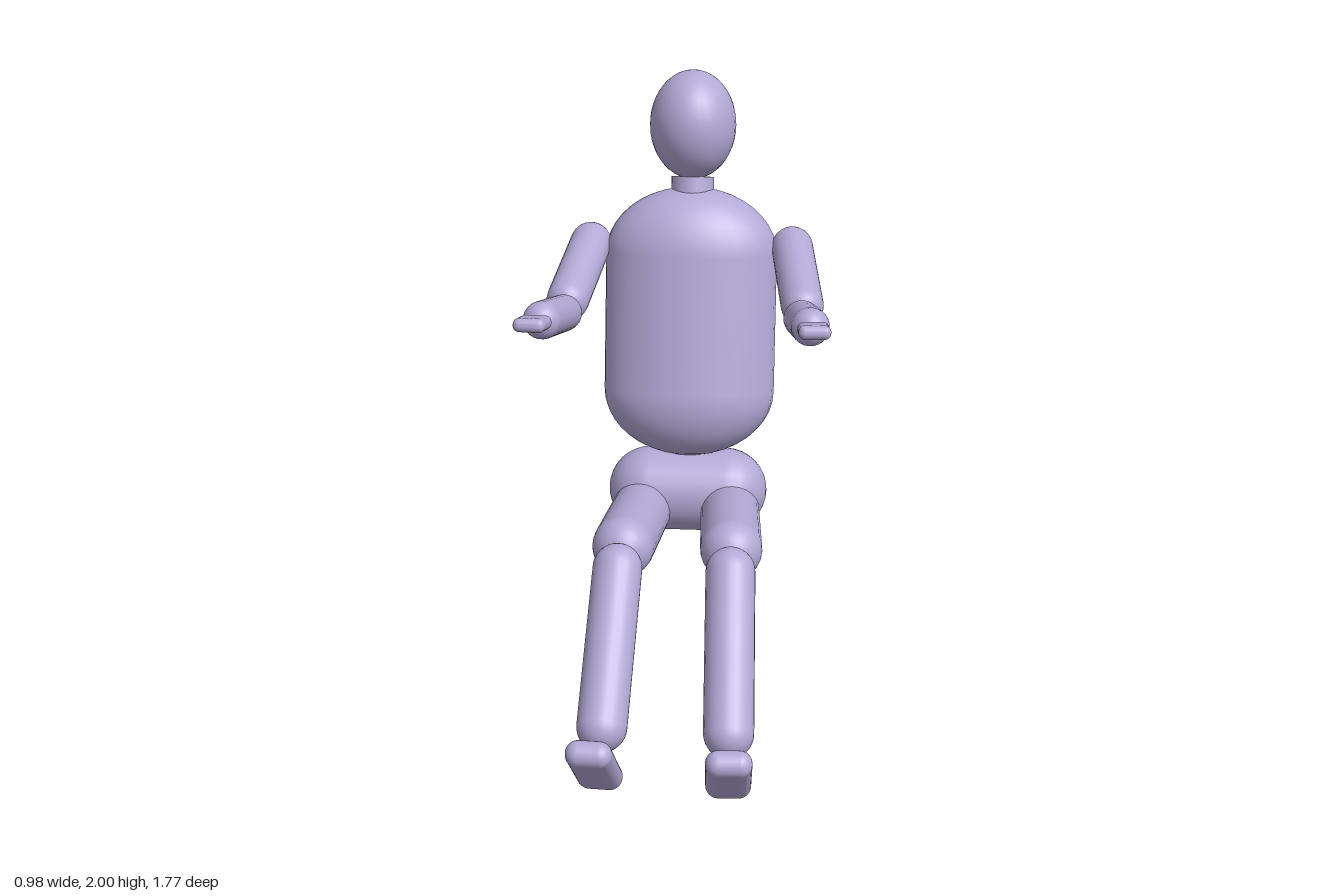
import * as THREE from 'three';
import { RoundedBoxGeometry } from 'three/addons/geometries/RoundedBoxGeometry.js';

const UP = new THREE.Vector3(0, 1, 0);

export function createModel() {
  const model = new THREE.Group();
  const lavender = new THREE.MeshStandardMaterial({ color: 0xb3a9d6 });
  lavender.name = 'lavender';

  const add = (name, geometry, position = [0, 0, 0]) => {
    const mesh = new THREE.Mesh(geometry, lavender);
    mesh.name = name;
    mesh.position.set(...position);
    model.add(mesh);
    return mesh;
  };

  // Capsule whose round ends are centred on points a and b
  const limb = (name, a, b, radius) => {
    const from = new THREE.Vector3(...a), to = new THREE.Vector3(...b);
    const dir = to.clone().sub(from);
    const mesh = add(name, new THREE.CapsuleGeometry(radius, dir.length(), 8, 24));
    mesh.position.copy(from).add(to).multiplyScalar(0.5);
    mesh.quaternion.setFromUnitVectors(UP, dir.normalize());
    return mesh;
  };

  // Rounded slab, pitched up at the front and turned slightly outward
  const slab = (name, size, radius, position, pitch, yaw) => {
    const mesh = add(name, new RoundedBoxGeometry(...size, 4, radius), position);
    mesh.rotation.set(-pitch, yaw, 0, 'YXZ');
  };

  // Head and neck
  add('head', new THREE.SphereGeometry(1, 32, 24), [0, 1.814, -0.718]).scale.set(0.147, 0.186, 0.164);
  const neck = add('neck', new THREE.CylinderGeometry(0.073, 0.073, 0.18, 24), [0, 1.546, -0.684]);
  neck.rotation.x = -0.29;

  // Torso: flattened capsule leaning back
  const torso = add('torso', new THREE.CapsuleGeometry(0.23, 0.474, 10, 32), [0, 1.147, -0.585]);
  torso.scale.set(1.283, 1, 0.796);
  torso.rotation.x = -0.245;

  limb('pelvis', [-0.13, 0.558, -0.485], [0.13, 0.558, -0.485], 0.147);

  for (const s of [-1, 1]) {
    const side = s > 0 ? 'left' : 'right';

    // Arm
    limb(side + 'UpperArm', [s * 0.347, 1.41, -0.637], [s * 0.39, 1.322, -0.3], 0.071);
    limb(side + 'Forearm', [s * 0.392, 1.315, -0.19], [s * 0.422, 1.402, 0.113], 0.061);
    slab(side + 'Hand', [0.1, 0.044, 0.155], 0.02, [s * 0.435, 1.438, 0.243], 0.27, s * 0.05);

    // Leg: the right shin and foot sit slightly higher and further forward
    const lift = s > 0 ? 0 : 0.02;
    limb(side + 'Thigh', [s * 0.15, 0.508, -0.45], [s * 0.179, 0.585, 0.045], 0.103);
    limb(side + 'Shin', [s * 0.184, 0.58, 0.197], [s * 0.2, 0.195 + lift, 0.567 + lift], 0.081);
    slab(side + 'Foot', [0.145, 0.084, 0.37], 0.04,
      [s * 0.208, 0.142 + lift * 1.4, 0.725 + lift], 0.78, s * 0.05);
  }

  return model;
}
